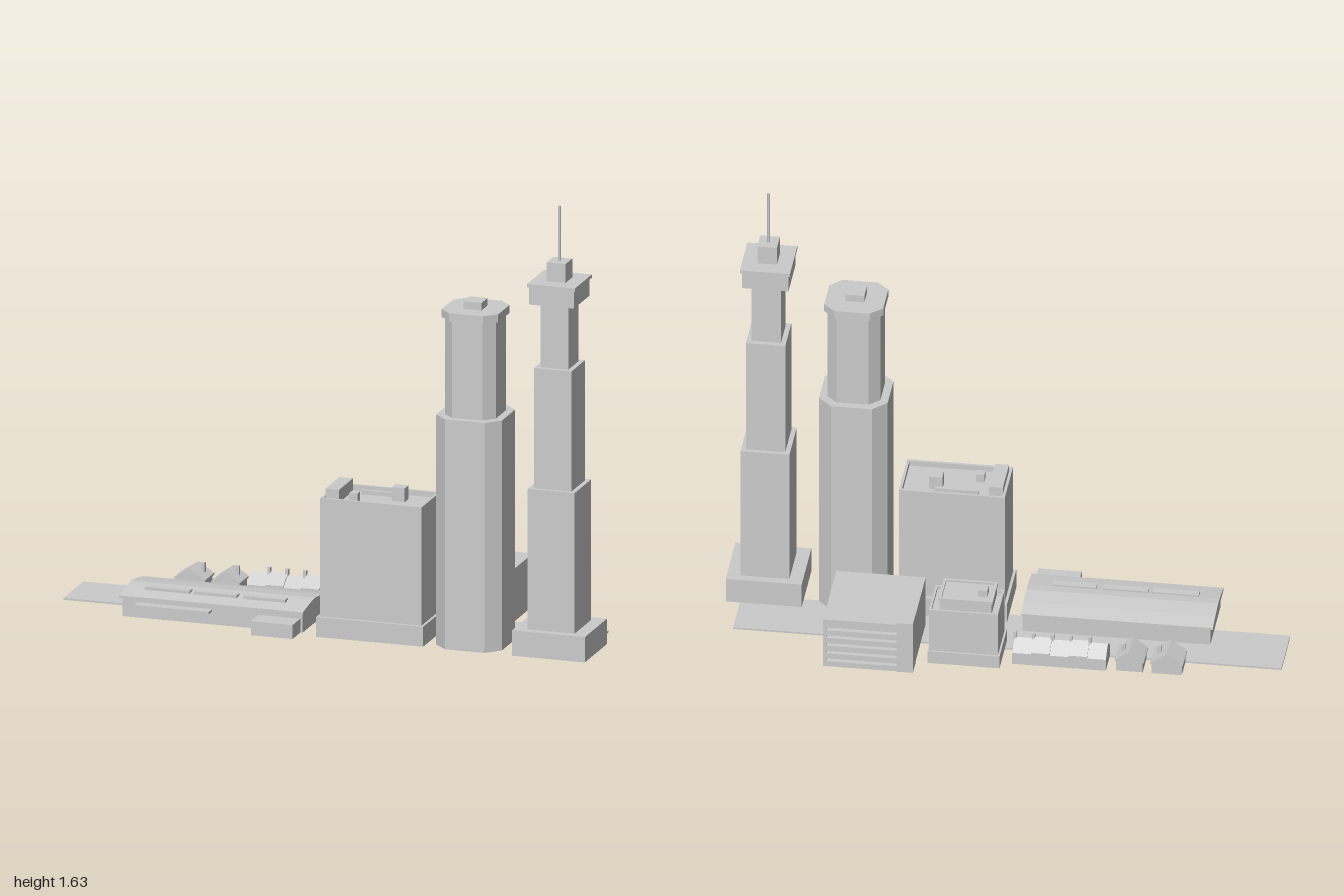
import * as THREE from 'three';

const grey = new THREE.MeshStandardMaterial({ color: 0xcccccc });
const FLOOR = 0.007;

export function createModel() {
  const model = new THREE.Group();
  model.name = 'cityBlock';

  const group = (name) => {
    const g = new THREE.Group();
    g.name = name;
    model.add(g);
    return g;
  };
  const mesh = (parent, name, geometry) => {
    const m = new THREE.Mesh(geometry, grey);
    m.name = name;
    parent.add(m);
    return m;
  };
  // Box given by its limits on each axis
  const box = (parent, name, x0, x1, y0, y1, z0, z1) =>
    mesh(parent, name, new THREE.BoxGeometry(x1 - x0, y1 - y0, z1 - z0)
      .translate((x0 + x1) / 2, (y0 + y1) / 2, (z0 + z1) / 2));
  // Box centred on x, z
  const tier = (parent, name, x, z, w, d, y0, y1) =>
    box(parent, name, x - w / 2, x + w / 2, y0, y1, z - d / 2, z + d / 2);
  const polygon = (pts) => new THREE.Shape(pts.map(([a, b]) => new THREE.Vector2(a, b)));
  const extrude = (shape, depth) =>
    new THREE.ExtrudeGeometry(shape, { depth, bevelEnabled: false });
  // Profile of [z, y] points swept along x
  const sweepX = (parent, name, pts, x0, x1) =>
    mesh(parent, name, extrude(polygon(pts), x1 - x0).rotateY(-Math.PI / 2).translate(x1, 0, 0));
  // Profile of [x, y] points swept along z
  const sweepZ = (parent, name, pts, z0, z1) =>
    mesh(parent, name, extrude(polygon(pts), z1 - z0).translate(0, 0, z0));
  // Square prism with chamfered corners: h = half width, f = half of the flat side
  const octagon = (parent, name, x, z, h, f, y0, y1) => {
    const pts = [[h, -f], [h, f], [f, h], [-f, h], [-h, f], [-h, -f], [-f, -h], [f, -h]];
    return mesh(parent, name, extrude(polygon(pts), y1 - y0).rotateX(-Math.PI / 2).translate(x, y0, z));
  };
  // Rim of four walls round a flat roof
  const parapet = (parent, x0, x1, y0, y1, z0, z1, t) => {
    const ring = polygon([[x0, -z1], [x1, -z1], [x1, -z0], [x0, -z0]]);
    ring.holes.push(polygon([[x0 + t, -z1 + t], [x0 + t, -z0 - t], [x1 - t, -z0 - t], [x1 - t, -z1 + t]]));
    mesh(parent, 'parapet', extrude(ring, y1 - y0).rotateX(-Math.PI / 2).translate(0, y0, 0));
  };

  // Street slab
  box(model, 'street', -1, 0.95, 0, FLOOR, -0.125, 0.095);

  // Stepped tower with mast
  const stepped = group('steppedTower');
  const sx = 0.865, sz = 0.165;
  box(stepped, 'podium', 0.73, 1, FLOOR, 0.1, 0.042, 0.287);
  [
    ['lowerShaft', 0.174, 0.184, 0.1, 0.615],
    ['middleShaft', 0.14, 0.152, 0.615, 1.055],
    ['upperShaft', 0.104, 0.115, 1.055, 1.29],
    ['crown', 0.166, 0.176, 1.29, 1.354],
    ['crownSlab', 0.178, 0.188, 1.354, 1.366],
    ['penthouse', 0.07, 0.075, 1.366, 1.435],
  ].forEach(([name, w, d, y0, y1]) => tier(stepped, name, sx, sz, w, d, y0, y1));
  mesh(stepped, 'mast', new THREE.CylinderGeometry(0.005, 0.005, 0.2, 10).translate(sx, 1.535, sz));

  // Eight-sided tower
  const eight = group('octagonalTower');
  const ox = 0.553, oz = 0.163;
  octagon(eight, 'lowerShaft', ox, oz, 0.122, 0.073, FLOOR, 0.85);
  octagon(eight, 'upperShaft', ox, oz, 0.094, 0.057, 0.85, 1.206);
  octagon(eight, 'cap', ox, oz, 0.105, 0.063, 1.206, 1.235);
  tier(eight, 'penthouse', ox, oz, 0.067, 0.067, 1.235, 1.262);

  // Office block
  const office = group('officeBlock');
  box(office, 'base', 0, 0.397, FLOOR, 0.08, 0.045, 0.28);
  box(office, 'body', 0.01, 0.387, 0.08, 0.493, 0.058, 0.266);
  parapet(office, 0.01, 0.387, 0.493, 0.513, 0.058, 0.266, 0.01);
  box(office, 'plantRoom', 0.02, 0.07, 0.493, 0.54, 0.08, 0.235);
  box(office, 'roofDuct', 0.11, 0.265, 0.493, 0.508, 0.095, 0.108);
  box(office, 'liftHousing', 0.24, 0.287, 0.493, 0.543, 0.113, 0.155);
  box(office, 'roofVent', 0.1, 0.13, 0.493, 0.525, 0.18, 0.212);

  // Low block behind the office
  const low = group('lowBlock');
  box(low, 'base', -0.017, 0.24, FLOOR, 0.055, -0.264, -0.08);
  box(low, 'body', -0.01, 0.235, 0.055, 0.212, -0.256, -0.088);
  parapet(low, -0.01, 0.235, 0.212, 0.223, -0.256, -0.088, 0.008);
  box(low, 'roofStorey', 0.015, 0.2, 0.212, 0.255, -0.236, -0.107);
  parapet(low, 0.011, 0.204, 0.253, 0.263, -0.24, -0.103, 0.01);
  box(low, 'liftHousing', 0.036, 0.07, 0.255, 0.28, -0.195, -0.153);

  // Parking garage: decks open at front and back between side walls
  const garage = group('parkingGarage');
  const decks = 6, pitch = 0.032;
  for (let i = 0; i < decks; i++) {
    const y = FLOOR + i * pitch;
    const top = i === decks - 1 ? 0.2 : y + 0.021;
    box(garage, 'deck', 0.285, 0.595, y, top, -0.335, -0.008);
  }
  box(garage, 'sideWall', 0.59, 0.6, FLOOR, 0.2, -0.335, -0.008);
  box(garage, 'sideWall', 0.282, 0.292, FLOOR, 0.2, -0.335, -0.008);
  box(garage, 'stairTower', 0.281, 0.34, FLOOR, 0.208, -0.337, -0.27);

  // Market hall with a shallow faceted roof
  const hall = group('marketHall');
  box(hall, 'walls', -0.73, -0.062, FLOOR, 0.08, -0.005, 0.247);
  sweepX(hall, 'roof', [
    [-0.013, 0.074], [0.255, 0.074], [0.255, 0.084], [0.16, 0.098],
    [0.12, 0.101], [0.05, 0.093], [-0.013, 0.081],
  ], -0.74, -0.058);
  [[-0.665, -0.5], [-0.485, -0.325], [-0.3, -0.145]].forEach(([x0, x1]) =>
    box(hall, 'skylight', x0, x1, 0.085, 0.104, 0.16, 0.19));
  box(hall, 'canopy', -0.675, -0.397, 0.055, 0.063, 0.247, 0.286);
  box(hall, 'entrancePorch', -0.225, -0.07, FLOOR, 0.058, 0.24, 0.333);

  // Terrace of five houses, roof heights stepping from one to the next
  const terrace = group('terrace');
  const unit = 0.0666;
  for (let i = 0; i < 5; i++) {
    const x0 = -0.39 + i * unit, x1 = x0 + unit;
    const lift = i % 2 ? 0.006 : 0;
    sweepX(terrace, 'house', [
      [-0.228, FLOOR], [-0.122, FLOOR], [-0.122, 0.052 + lift],
      [-0.175, 0.087 + lift], [-0.228, 0.052 + lift],
    ], x0, x1);
    box(terrace, 'porch', x0 + 0.014, x0 + 0.048, FLOOR, 0.03, -0.125, -0.102);
    box(terrace, 'chimney', x1 - 0.008, x1 + 0.003, 0.06, 0.108, -0.181, -0.168);
  }

  // Two detached houses with gables to front and back
  [[-0.664, -0.547], [-0.525, -0.42]].forEach(([x0, x1]) => {
    const house = group('detachedHouse');
    const mid = (x0 + x1) / 2;
    sweepZ(house, 'body', [
      [x0 + 0.005, FLOOR], [x1 - 0.005, FLOOR], [x1 - 0.005, 0.05], [mid, 0.084], [x0 + 0.005, 0.05],
    ], -0.22, -0.128);
    sweepZ(house, 'roof', [
      [x0, 0.046], [mid, 0.083], [x1, 0.046], [x1, 0.053], [mid, 0.09], [x0, 0.053],
    ], -0.225, -0.124);
    box(house, 'porch', mid - 0.015, mid + 0.017, FLOOR, 0.03, -0.13, -0.108);
    box(house, 'chimney', x1 - 0.033, x1 - 0.02, 0.05, 0.1, -0.19, -0.177);
  });

  return model;
}
